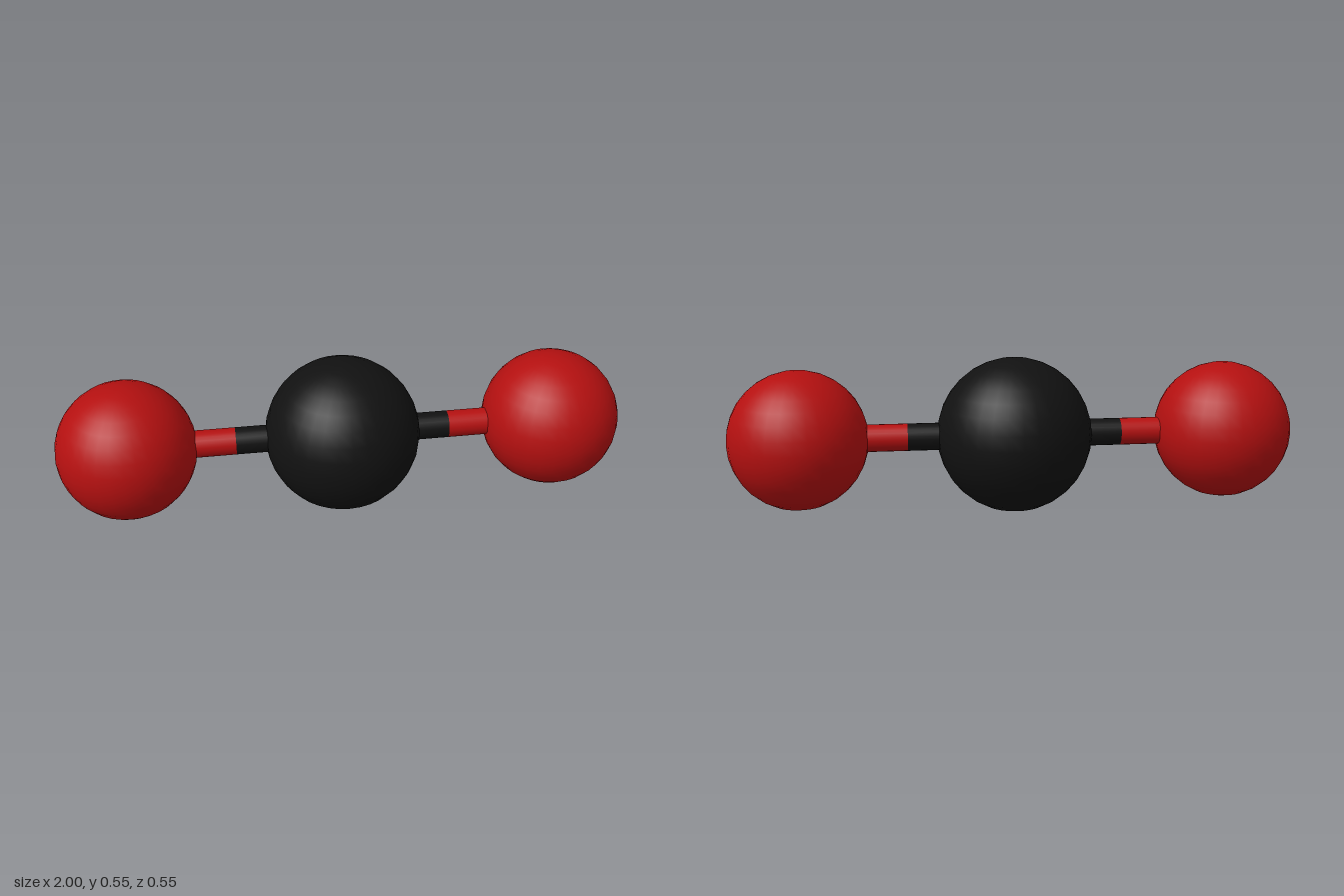
import * as THREE from 'three';

export function createModel() {
  const group = new THREE.Group();
  const black = new THREE.MeshStandardMaterial({ color: 0x111111 });
  const red = new THREE.MeshStandardMaterial({ color: 0xb41010 });

  const centreY = 0.274;
  const outerX = 0.756; // distance from the centre ball to each outer ball

  const add = (name, geometry, material, x) => {
    const mesh = new THREE.Mesh(geometry, material);
    mesh.name = name;
    mesh.position.set(x, centreY, 0);
    group.add(mesh);
  };

  // Balls
  const outerBall = new THREE.SphereGeometry(0.244, 32, 16);
  add('centreBall', new THREE.SphereGeometry(0.274, 32, 16), black, 0);

  // Each rod is half black, half red, and runs between ball centres
  const halfRod = new THREE.CylinderGeometry(0.048, 0.048, outerX / 2, 24, 1, true).rotateZ(Math.PI / 2);

  for (const [side, s] of [['left', 1], ['right', -1]]) {
    add(`${side}Ball`, outerBall, red, s * outerX);
    add(`${side}InnerRod`, halfRod, black, s * outerX * 0.25);
    add(`${side}OuterRod`, halfRod, red, s * outerX * 0.75);
  }
  return group;
}
